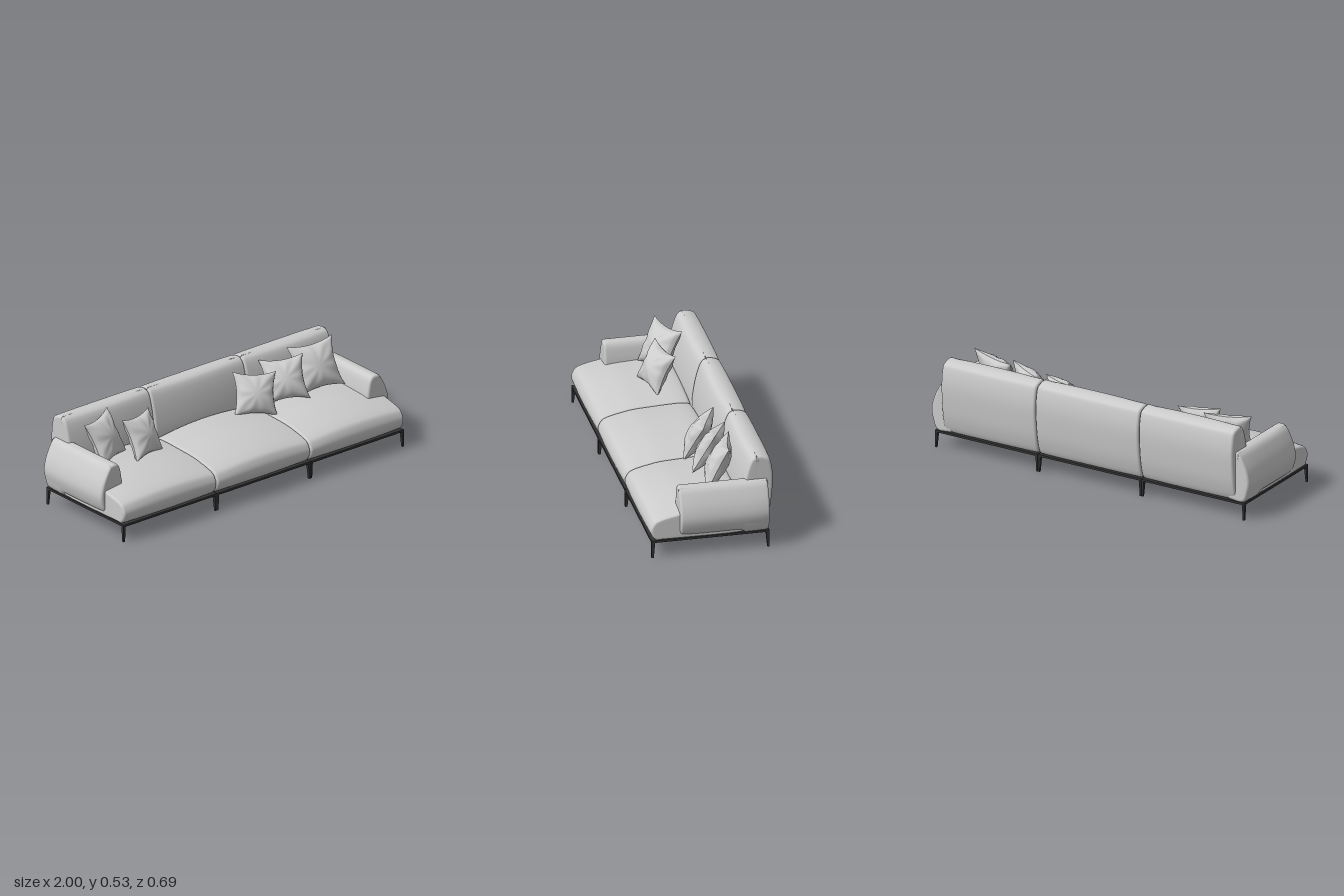
import * as THREE from 'three';
import { mergeGeometries } from 'three/addons/utils/BufferGeometryUtils.js';

const fabric = new THREE.MeshStandardMaterial({ color: 0xcccccc });
const metal = new THREE.MeshStandardMaterial({ color: 0x333333 });

function add(parent, name, geometry, material) {
  const mesh = new THREE.Mesh(geometry, material);
  mesh.name = name;
  parent.add(mesh);
  return mesh;
}

// Upholstered block: a closed counter-clockwise outline lofted along z from a to b,
// with ends rounded by radius r; warp(v, t) may bend it, t running -1..1
function upholstery(outline, a, b, r, warp) {
  const curve = new THREE.CatmullRomCurve3(outline.map(([x, y]) => new THREE.Vector3(x, y, 0)), true);
  const ring = curve.getPoints(outline.length * 5).slice(0, -1);
  const box = new THREE.Box3().setFromPoints(ring);
  const c = box.getCenter(new THREE.Vector3()), size = box.getSize(new THREE.Vector3());
  // stations: [z, inset], inset Infinity closes the end
  const end = [[0, Infinity], [0, r * 2.5]];
  for (let i = 0; i <= 5; i++) {
    const q = i / 5 * Math.PI / 2;
    end.push([r * (1 - Math.cos(q)), r * (1 - Math.sin(q))]);
  }
  const stations = end.map(([d, n]) => [a + d, n]);
  for (let i = 1; i < 16; i++) stations.push([a + r + (b - a - 2 * r) * i / 16, 0]);
  for (const [d, n] of [...end].reverse()) stations.push([b - d, n]);

  const positions = [], index = [], n = ring.length;
  for (const [z, inset] of stations) {
    const sx = inset === Infinity ? 0 : 1 - 2 * inset / size.x;
    const sy = inset === Infinity ? 0 : 1 - 2 * inset / size.y;
    for (const p of ring) {
      const v = new THREE.Vector3(c.x + (p.x - c.x) * sx, c.y + (p.y - c.y) * sy, z);
      warp(v, (2 * z - a - b) / (b - a));
      positions.push(v.x, v.y, v.z);
    }
  }
  for (let s = 0; s < stations.length - 1; s++) {
    for (let i = 0; i < n; i++) {
      const j = (i + 1) % n, p = s * n, q = p + n;
      index.push(p + i, p + j, q + j, p + i, q + j, q + i);
    }
  }
  const g = new THREE.BufferGeometry();
  g.setAttribute('position', new THREE.Float32BufferAttribute(positions, 3));
  g.setIndex(index);
  g.computeVertexNormals();
  return g;
}

// Scatter cushion: two puffed panels with pulled-in sides, pointed corners and soft creases
function pillowGeometry(h, depth, seed) {
  const panels = [1, -1].map((side) => {
    const g = new THREE.PlaneGeometry(2, 2, 28, 28);
    if (side < 0) g.rotateY(Math.PI);
    const p = g.attributes.position;
    for (let i = 0; i < p.count; i++) {
      const u = p.getX(i), v = p.getY(i);
      const fu = Math.max(0, 1 - u * u), fv = Math.max(0, 1 - v * v);
      const puff = Math.pow(fu * fv, 0.5);
      const angle = Math.atan2(v, u), rim = Math.hypot(u, v);
      const crease = 0.09 * Math.sin(angle * 9 + seed * 2) * rim * rim
        + 0.05 * Math.sin(4 * u + 5 * v + seed);
      p.setXYZ(i, h * u * (1 - 0.16 * fv), h * v * (1 - 0.16 * fu),
        side * depth * puff * (1 + crease));
    }
    g.computeVertexNormals();
    return g;
  });
  return mergeGeometries(panels);
}

// Leg tapering towards its outer corner
function legGeometry(sx, sz) {
  const g = new THREE.BoxGeometry(0.014, 0.088, 0.02);
  const p = g.attributes.position;
  for (let i = 0; i < p.count; i++) {
    if (p.getY(i) > 0) continue;
    if (p.getX(i) * sx < 0) p.setX(i, p.getX(i) + sx * 0.005);
    if (p.getZ(i) * sz < 0) p.setZ(i, p.getZ(i) + sz * 0.008);
  }
  g.computeVertexNormals();
  return g;
}

export function createModel() {
  const sofa = new THREE.Group();
  sofa.name = 'sofa';

  // Side outlines as [-z, y]
  const seatOutline = [[-0.315, 0.1], [-0.29, 0.1], [0.15, 0.1], [0.168, 0.105], [0.17, 0.13],
    [0.17, 0.26], [0.15, 0.28], [-0.05, 0.28], [-0.18, 0.268], [-0.315, 0.228],
    [-0.336, 0.2], [-0.345, 0.165], [-0.335, 0.125]];
  const backOutline = [[0.17, 0.1], [0.19, 0.1], [0.29, 0.1], [0.303, 0.11], [0.325, 0.18],
    [0.338, 0.27], [0.344, 0.39], [0.331, 0.475], [0.322, 0.492], [0.295, 0.505], [0.265, 0.51],
    [0.235, 0.506], [0.215, 0.492], [0.19, 0.43], [0.165, 0.3], [0.162, 0.2]];

  // Three seat modules, each with frame, legs, seat and back
  const modules = [
    { name: 'rightModule', x0: -0.967, x1: -0.325, b0: -0.912, b1: -0.325 },
    { name: 'middleModule', x0: -0.323, x1: 0.321, b0: -0.323, b1: 0.321 },
    { name: 'leftModule', x0: 0.323, x1: 0.965, b0: 0.323, b1: 0.91 },
  ];
  for (const { name, x0, x1, b0, b1 } of modules) {
    const module = new THREE.Group();
    module.name = name;
    sofa.add(module);

    const seat = upholstery(seatOutline, x0, x1, 0.014, (v, t) => {
      v.y -= 0.028 * t * t * Math.max(0, (v.y - 0.1) / 0.18);
      if (v.x < -0.2) v.x += 0.008 * t * t;
    });
    add(module, 'seatCushion', seat.rotateY(Math.PI / 2), fabric);

    const back = upholstery(backOutline, b0, b1, 0.014, (v, t) => {
      if (v.x < 0.25) v.x += 0.012 * t * t;
      else v.x -= 0.005 * t ** 4;
    });
    add(module, 'backCushion', back.rotateY(Math.PI / 2), fabric);

    const frame = add(module, 'frame', new THREE.BoxGeometry(x1 - x0, 0.012, 0.642), metal);
    frame.position.set((x0 + x1) / 2, 0.093, 0.013);
    for (const sx of [-1, 1]) for (const sz of [-1, 1]) {
      const leg = add(module, 'leg', legGeometry(sx, sz), metal);
      leg.position.set(sx < 0 ? x0 + 0.007 : x1 - 0.007, 0.044, sz < 0 ? -0.298 : 0.324);
    }
  }

  // Armrests, mirrored, dipping to the frame behind the seat cushion
  const armOutline = [[0.865, 0.12], [0.885, 0.117], [0.955, 0.115], [0.974, 0.125], [0.99, 0.16],
    [0.999, 0.21], [0.988, 0.27], [0.962, 0.33], [0.942, 0.362], [0.922, 0.375], [0.885, 0.377],
    [0.866, 0.36], [0.852, 0.31], [0.845, 0.25], [0.848, 0.16]];
  for (const side of [1, -1]) {
    const outline = armOutline.map(([x, y]) => [x * side, y]);
    if (side < 0) outline.reverse();
    const arm = upholstery(outline, -0.306, 0.179, 0.013, (v, t) => {
      if (v.z < -0.165 && v.y < 0.16) v.y -= 0.018 * (0.16 - v.y) / 0.045;
      if (v.x * side > 0.93) v.x -= side * 0.008 * t ** 4;
    });
    add(sofa, side > 0 ? 'leftArmrest' : 'rightArmrest', arm, fabric);
  }

  // Scatter pillows: position, half size, yaw, lean, roll
  const pillows = [
    [-0.74, 0.392, -0.095, 0.13, 0.38, -0.45, 0.02],
    [-0.535, 0.373, -0.03, 0.12, 0.28, -0.45, -0.05],
    [0.278, 0.362, -0.075, 0.12, -0.4, -0.5, -0.1],
    [0.488, 0.385, -0.085, 0.122, -0.5, -0.5, 0.08],
    [0.705, 0.4, -0.085, 0.136, -0.25, -0.45, 0.08],
  ];
  pillows.forEach(([x, y, z, h, yaw, lean, roll], i) => {
    const pillow = add(sofa, 'pillow', pillowGeometry(h, 0.056, i + 1), fabric);
    pillow.position.set(x, y, z);
    pillow.rotation.set(lean, yaw, roll, 'YXZ');
  });
  return sofa;
}
